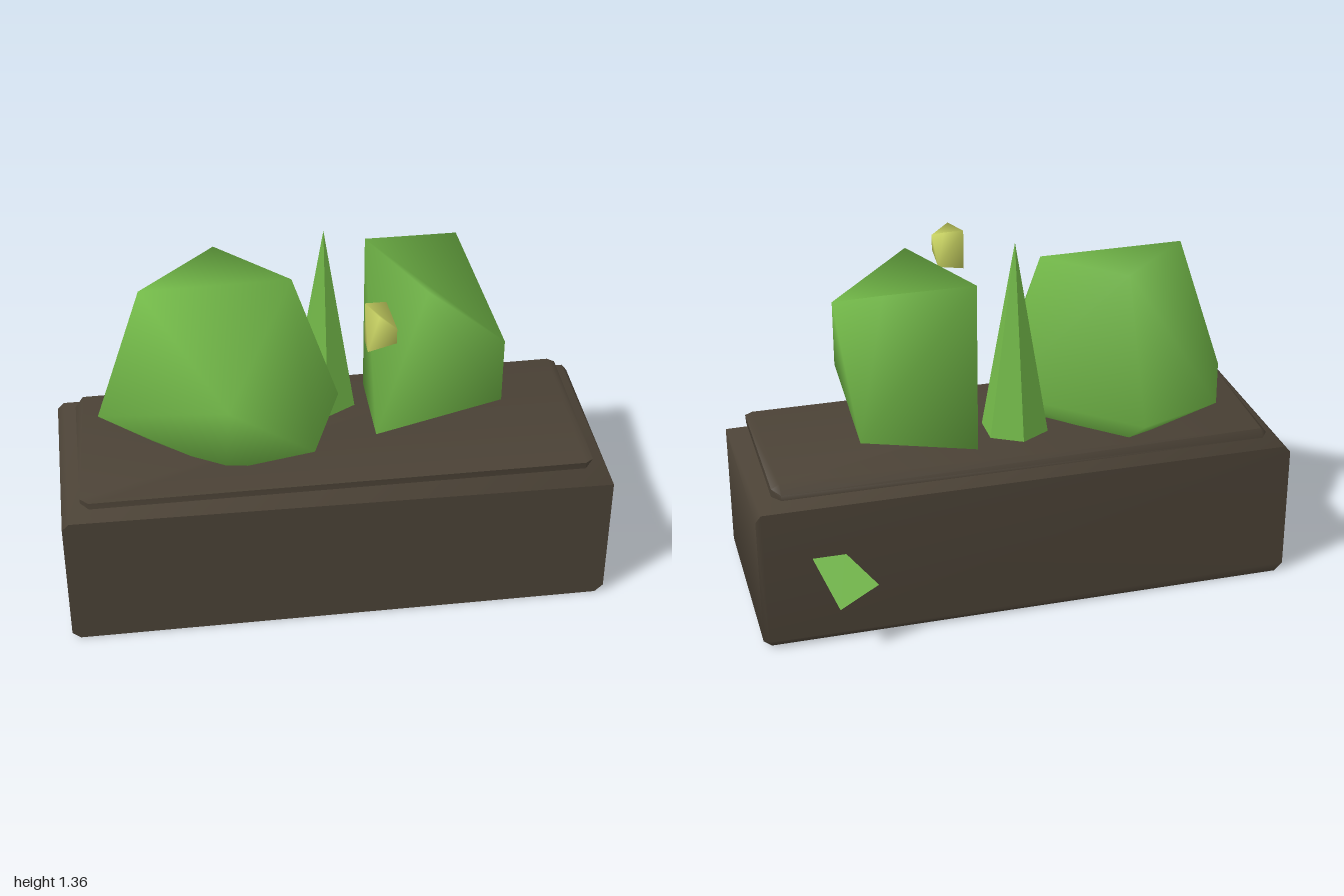
import * as THREE from 'three';
import { mergeVertices, toCreasedNormals } from 'three/addons/utils/BufferGeometryUtils.js';
import { ConvexGeometry } from 'three/addons/geometries/ConvexGeometry.js';

const bark = new THREE.MeshStandardMaterial({ color: 0x4b4236 });
bark.name = 'dark brown';
const leafGreen = new THREE.MeshStandardMaterial({ color: 0x72b848, side: THREE.DoubleSide });
leafGreen.name = 'leaf green';
const budYellow = new THREE.MeshStandardMaterial({ color: 0xccd664 });
budYellow.name = 'bud yellow';

function add(group, name, geometry, material) {
  const mesh = new THREE.Mesh(geometry, material);
  mesh.name = name;
  group.add(mesh);
  return mesh;
}

// Convex lump through a few corners, with shared vertices
function hull(points) {
  const g = new ConvexGeometry(points.map((p) => new THREE.Vector3(...p)));
  g.deleteAttribute('normal');
  const merged = mergeVertices(g, 1e-4);
  merged.computeVertexNormals();
  return merged;
}

function faces(points, index) {
  const g = new THREE.BufferGeometry();
  g.setAttribute('position', new THREE.Float32BufferAttribute(points.flat(), 3));
  g.setIndex(index);
  g.computeVertexNormals();
  return g;
}

// Twisted block with a valley across its top and its underside
function twistedBlock() {
  return faces([
    [0.165, 1.255, -0.2], [0.5, 1.255, -0.2], [0.33, 1.26, 0.2], [0.6, 1.06, 0.24],
    [0.6, 0.81, 0.24], [0.165, 0.615, 0.13], [0.565, 0.615, -0.04], [0.165, 0.615, -0.2],
  ], [
    0, 3, 1, 0, 2, 3, // top
    7, 4, 5, 7, 6, 4, // underside
    2, 5, 4, 2, 4, 3, // front
    3, 4, 6, 3, 6, 1, // left side
    0, 1, 6, 0, 6, 7, // back
    0, 7, 5, 0, 5, 2, // right side
  ]);
}

export function createModel() {
  const model = new THREE.Group();
  model.name = 'planter';

  // Planter box with worn corners
  add(model, 'planterBox', toCreasedNormals(hull([
    [-0.975, 0.535, 0.41], [-1, 0.51, 0.41], [1, 0.51, 0.41],
    [-1, 0.025, 0.41], [-0.97, 0, 0.41], [1, 0.03, 0.41], [0.97, 0, 0.41],
    [-0.975, 0.535, -0.335], [-1, 0.51, -0.335], [0.98, 0.535, -0.335], [1, 0.51, -0.335],
    [-1, 0.03, -0.335], [-0.97, 0, -0.335],
    [1, 0.03, -0.345], [0.98, 0.03, -0.36], [0.97, 0, -0.335],
  ]), 0.9), bark);

  // Tilted soil slab floating just above the box
  const soil = [
    [-0.93, 0.59, 0.34], [-0.9, 0.59, 0.37], [0.9, 0.59, 0.37], [0.93, 0.59, 0.35],
    [0.9, 0.615, -0.27], [0.93, 0.6, -0.27], [-0.9, 0.595, -0.28], [0.9, 0.585, -0.3],
  ];
  for (const x of [-1, 1]) {
    for (const z of [-0.3, 0.37]) {
      soil.push([x * 0.9, 0.565, z], [x * 0.93, 0.565, z - Math.sign(z) * 0.04]);
    }
  }
  add(model, 'soilSlab', toCreasedNormals(hull(soil), 0.9), bark);

  // Wide round bush
  add(model, 'roundBush', hull([
    [-0.385, 1.245, -0.235], [-0.67, 1.245, 0.035], [-0.13, 1.245, 0.025],
    [-0.4, 1.01, 0.48],
    [-0.845, 0.725, 0.035], [0.04, 0.725, 0.01], [-0.4, 0.725, -0.4],
    [-0.09, 0.725, 0.35], [-0.715, 0.725, -0.28],
    [-0.57, 0.535, 0.03], [-0.24, 0.535, 0.02], [-0.4, 0.535, -0.14], [-0.4, 0.55, 0.19],
  ]), leafGreen);

  // Tall twisted bush, and a bud of the same form
  add(model, 'twistedBush', twistedBlock(), leafGreen);
  const bud = twistedBlock();
  bud.translate(-0.3825, -0.9375, -0.02);
  bud.scale(0.22, 0.233, 0.236);
  bud.translate(0.143, 1.204, 0.317);
  add(model, 'bud', bud, budYellow);

  // Six-sided pointed shoot
  const shoot = new THREE.ConeGeometry(0.125, 0.725, 6).toNonIndexed();
  shoot.computeVertexNormals();
  add(model, 'pointedShoot', shoot, leafGreen).position.set(0, 0.9975, -0.1);

  // Fallen leaves: one hanging on the back wall, one caught under the slab
  add(model, 'hangingLeaf', faces([
    [0.69, 0.345, -0.342], [0.81, 0.345, -0.342], [0.74, 0.2, -0.48], [0.59, 0.25, -0.43],
  ], [0, 1, 2, 0, 2, 3]), leafGreen);
  add(model, 'caughtLeaf', faces([
    [0.885, 0.53, -0.15], [0.925, 0.558, -0.18], [0.905, 0.53, -0.2],
  ], [0, 1, 2]), leafGreen);

  return model;
}
